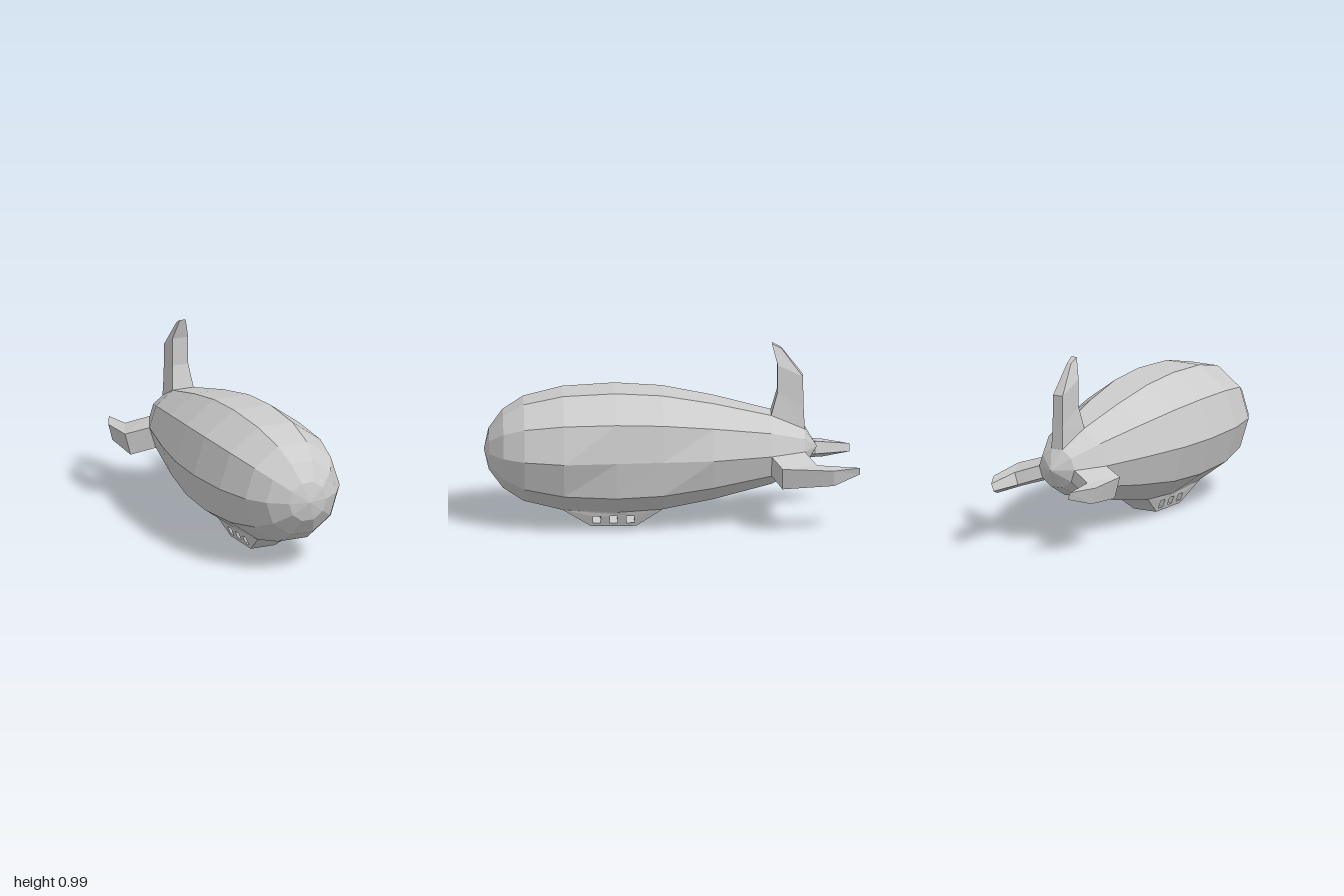
import * as THREE from 'three';

const AXIS_X = 0.006, AXIS_Y = 0.415;

const material = () => new THREE.MeshStandardMaterial({ color: 0xcccccc, flatShading: true });

function makeMesh(name, geometry) {
  const flat = geometry.index ? geometry.toNonIndexed() : geometry;
  flat.computeVertexNormals();
  const mesh = new THREE.Mesh(flat, material());
  mesh.name = name;
  return mesh;
}

// Skins four-cornered sections (corners clockwise seen from the tip) and caps the last one
function loft(sections) {
  const positions = [];
  const quad = (a, b, c, d) => [a, c, b, a, d, c].forEach(p => positions.push(...p));
  for (let s = 0; s < sections.length - 1; s++) {
    for (let i = 0; i < 4; i++) {
      const j = (i + 1) % 4;
      quad(sections[s][i], sections[s][j], sections[s + 1][j], sections[s + 1][i]);
    }
  }
  quad(...sections[sections.length - 1]);
  const geometry = new THREE.BufferGeometry();
  geometry.setAttribute('position', new THREE.Float32BufferAttribute(positions, 3));
  return geometry;
}

// Ten-sided envelope, turned about the z axis
function envelope() {
  const profile = [
    [0, -0.775], [0.11, -0.71], [0.2, -0.53], [0.279, -0.22], [0.331, 0.05], [0.347, 0.3],
    [0.331, 0.58], [0.28, 0.79], [0.21, 0.9], [0.11, 0.975], [0, 1],
  ].map(p => new THREE.Vector2(...p));
  const geometry = new THREE.LatheGeometry(profile, 10, Math.PI / 10);
  geometry.rotateX(Math.PI / 2);
  // The left flank runs straight along its widest line
  const pos = geometry.attributes.position;
  for (let i = 0; i < pos.count; i++) {
    const z = pos.getZ(i);
    if (pos.getX(i) > 0.25 && Math.abs(pos.getY(i)) < 0.01 && z < 0.5 && z > -0.2) {
      pos.setX(i, THREE.MathUtils.mapLinear(z, -0.22, 0.58, 0.279, 0.331));
    }
  }
  geometry.translate(0, AXIS_Y, 0);
  return geometry;
}

// Swept side fin; side = 1 for +x, -1 for -x
function sideFin(side, tipShift) {
  const sections = [
    [[0.2, 0.415, -0.53], [0.11, 0.415, -0.71], [0.089, 0.35, -0.71], [0.162, 0.297, -0.53]],
    [[0.318, 0.38, -0.585], [0.227, 0.375, -0.77], [0.207, 0.31, -0.77], [0.285, 0.26, -0.585]],
    [[0.304, 0.365, -0.86], [0.232, 0.36, -1], [0.218, 0.32, -1], [0.28, 0.275, -0.86]],
  ];
  sections[2].forEach(p => { p[2] += tipShift; });
  return loft(sections.map(section => {
    const corners = section.map(([x, y, z]) => [x * side, y, z]);
    return side > 0 ? corners : corners.reverse();
  }));
}

// Upright fin: each row is front half-width, y, z, then rear half-width, y, z
function topFin() {
  const rows = [
    [0.062, 0.605, -0.53, 0.034, 0.52, -0.71],
    [0.047, 0.73, -0.565, 0.03, 0.64, -0.704],
    [0.047, 0.88, -0.565, 0.03, 0.81, -0.7],
    [0.017, 0.99, -0.535, 0.012, 0.965, -0.585],
  ];
  return loft(rows.map(([fw, fy, fz, rw, ry, rz]) =>
    [[fw, fy, fz], [-fw, fy, fz], [-rw, ry, rz], [rw, ry, rz]]));
}

// Cabin with three square windows cut right through, narrowing towards its floor
function gondola() {
  const shape = new THREE.Shape([
    [0.43, 0], [0.58, 0.1], [0.3, 0.085], [0.05, 0.1], [0.19, 0],
  ].map(p => new THREE.Vector2(...p)));
  const h = 0.021;
  for (const z of [0.4, 0.31, 0.22]) {
    shape.holes.push(new THREE.Path([[-h, -h], [-h, h], [h, h], [h, -h]]
      .map(([dz, dy]) => new THREE.Vector2(z + dz, 0.04 + dy))));
  }
  const geometry = new THREE.ExtrudeGeometry(shape, { depth: 2, bevelEnabled: false });
  geometry.translate(0, 0, -1);
  geometry.rotateY(-Math.PI / 2);
  const pos = geometry.attributes.position;
  for (let i = 0; i < pos.count; i++) {
    const halfWidth = 0.07 + 0.034 * Math.min(1, pos.getY(i) / 0.085);
    pos.setX(i, pos.getX(i) * halfWidth);
  }
  return geometry;
}

export function createModel() {
  const airship = new THREE.Group();
  airship.name = 'airship';
  airship.add(
    makeMesh('envelope', envelope()),
    makeMesh('topFin', topFin()),
    makeMesh('leftFin', sideFin(1, 0)),
    makeMesh('rightFin', sideFin(-1, 0.045)),
    makeMesh('gondola', gondola()),
  );
  airship.children.forEach(part => { part.position.x = AXIS_X; });
  return airship;
}
